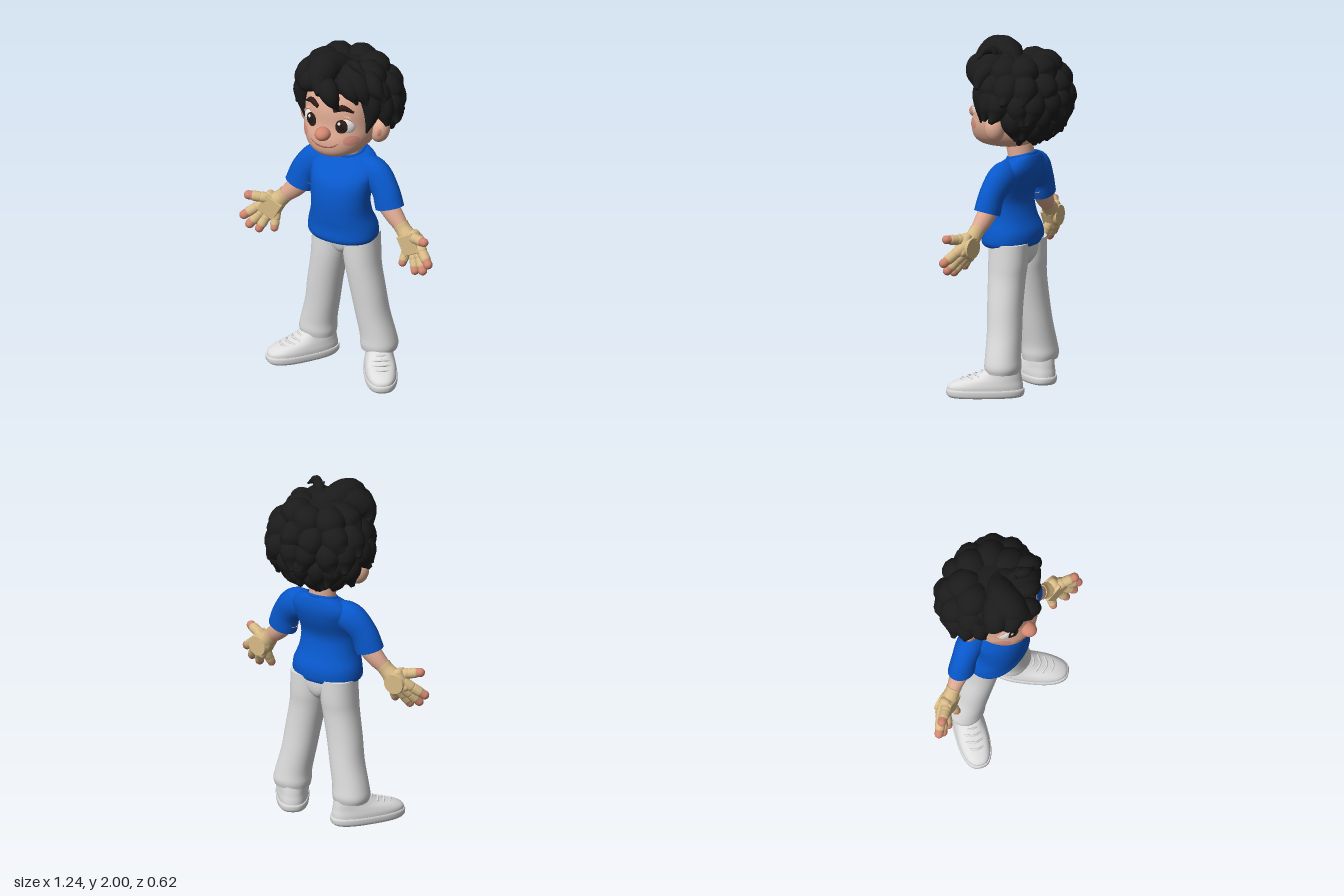
import * as THREE from 'three';
import { toCreasedNormals } from 'three/addons/utils/BufferGeometryUtils.js';
import { RoundedBoxGeometry } from 'three/addons/geometries/RoundedBoxGeometry.js';

const V = (x, y, z) => new THREE.Vector3(x, y, z);
const mat = (name, color) => Object.assign(new THREE.MeshStandardMaterial({ color }), { name });

// Smooth value at t (0..1) through a list of equal-length rows
function sample(rows, t) {
  const f = t * (rows.length - 1), i = Math.min(Math.floor(f), rows.length - 2), u = f - i;
  const at = k => rows[Math.max(0, Math.min(rows.length - 1, k))];
  return at(i).map((b, c) => {
    const a = at(i - 1)[c], d = at(i + 1)[c], e = at(i + 2)[c];
    return b + 0.5 * u * (d - a + u * (2 * a - 5 * b + 4 * d - e + u * (3 * (b - d) + e - a)));
  });
}

// Soft shading, keeping sharp rims
const crease = geo => toCreasedNormals(geo.scale(30, 30, 30), 1).scale(1 / 30, 1 / 30, 1 / 30);

// Stacked rounded sections, bottom to top: [y, cx, cz, rx, rz, tilt]
function loft(rings, power = 2, seg = 36) {
  const rows = (rings.length - 1) * 4, pos = [], idx = [];
  for (let i = -1; i <= rows + 1; i++) {
    const [y, cx, cz, rx, rz, tilt] = sample(rings.map(r => [...r, 0].slice(0, 6)), Math.max(0, Math.min(1, i / rows)));
    const k = i < 0 || i > rows ? 0 : 1;
    for (let j = 0; j <= seg; j++) {
      const a = j / seg * Math.PI * 2, c = Math.cos(a), s = Math.sin(a);
      const x = k * rx * Math.sign(c) * Math.abs(c) ** (2 / power);
      const z = k * rz * Math.sign(s) * Math.abs(s) ** (2 / power);
      pos.push(cx + x, y - tilt * z, cz + z);
      const q = (i + 1) * (seg + 1) + j, up = q + seg + 1;
      if (i <= rows && j < seg) idx.push(q, up, q + 1, q + 1, up, up + 1);
    }
  }
  const g = new THREE.BufferGeometry();
  g.setAttribute('position', new THREE.Float32BufferAttribute(pos, 3));
  g.setIndex(idx);
  return crease(g);
}

// Closed tube of changing radius along a curve
function taper(points, radii, flat = 1, n = 16, seg = 12) {
  const curve = new THREE.CatmullRomCurve3(points);
  const g = new THREE.TubeGeometry(curve, n, 1, seg), p = g.attributes.position, nor = g.attributes.normal;
  for (let v = 0; v < p.count; v++) {
    const i = Math.floor(v / (seg + 1)), t = Math.max(0, Math.min(1, (i - 1) / (n - 2)));
    const r = i === 0 || i === n ? 0 : sample(radii.map(q => [q]), t)[0], c = curve.getPoint(t);
    p.setXYZ(v, c.x + nor.getX(v) * r, c.y + nor.getY(v) * r, c.z + nor.getZ(v) * r * flat);
  }
  return crease(g);
}

export function createModel() {
  const root = new THREE.Group();
  const hair = mat('black hair', 0x1b1b1b), skin = mat('skin', 0xe0ab93), rosy = mat('rosy skin', 0xd28770);
  const blue = mat('blue cotton', 0x0858cc), pale = mat('pale grey cloth', 0xdedede), blush = mat('blush', 0xda917e);
  const tan = mat('tan glove', 0xd8bb87), white = mat('eye white', 0xf0eeec), brown = mat('dark brown', 0x301a16), lip = mat('lip line', 0x9a5444);
  let seed = 7;
  const jitter = k => ((seed = (seed * 16807) % 2147483647) / 2147483647 - 0.5) * 2 * k;

  function add(name, geo, m, parent = root) {
    const mesh = new THREE.Mesh(geo, m);
    mesh.name = name;
    parent.add(mesh);
    return mesh;
  }
  function group(name, position, rotation) {
    const g = new THREE.Group();
    g.name = name;
    g.position.set(...position);
    g.rotation.set(...rotation);
    root.add(g);
    return g;
  }
  function ball(name, m, c, r, ry = 0, rz = 0) {
    const b = add(name, new THREE.SphereGeometry(1, 28, 20), m);
    b.position.set(...c);
    b.scale.set(...r);
    b.rotation.set(0, ry, rz);
    b.updateMatrixWorld(true);
    return b;
  }
  function bead(name, m, a, b, r) {
    const mesh = add(name, new THREE.CapsuleGeometry(r, a.distanceTo(b), 5, 14), m);
    mesh.position.copy(a).lerp(b, 0.5);
    mesh.quaternion.setFromUnitVectors(V(0, 1, 0), b.clone().sub(a).normalize());
  }

  // Head and neck
  const head = add('head', loft([
    [1.395, 0, 0.09, 0.06, 0.08], [1.41, 0, 0.08, 0.115, 0.145], [1.45, 0, 0.06, 0.17, 0.195], [1.52, 0, 0.05, 0.203, 0.208],
    [1.6, 0, 0.04, 0.205, 0.198], [1.7, 0, 0.035, 0.2, 0.195], [1.79, 0, 0.02, 0.17, 0.175], [1.86, 0, 0, 0.08, 0.09]], 2.2, 48), skin);
  add('neck', loft([[1.24, 0, -0.03, 0.08, 0.06], [1.33, 0, -0.028, 0.078, 0.071], [1.45, 0, -0.01, 0.08, 0.08]]), skin);

  // Face details are laid on the surface by casting rays at it
  const targets = [head], ray = new THREE.Raycaster();
  function onFace(x, y) {
    ray.set(V(x, y, 1), V(0, 0, -1));
    return ray.intersectObjects(targets, false)[0]?.point.z ?? 0.08;
  }
  function decal(name, m, x, y, rx, ry, lift) {
    const g = new THREE.RingGeometry(0.001, 1, 28, 5), p = g.attributes.position;
    for (let i = 0; i < p.count; i++) {
      const px = x + p.getX(i) * rx, py = y + p.getY(i) * ry;
      p.setXYZ(i, px, py, onFace(px, py) + lift);
    }
    g.computeVertexNormals();
    add(name, g, m);
  }
  const stroke = (name, m, pts, radii, lift, flat) => add(name, taper(pts.map(([x, y]) => V(x, y, onFace(x, y) + lift)), radii, flat), m);
  stroke('mouth', lip, [[-0.085, 1.505], [-0.045, 1.487], [0, 1.482], [0.05, 1.488], [0.09, 1.512]], [0.002, 0.004, 0.004, 0.004, 0.002], 0);
  ball('nose', rosy, [0, 1.562, 0.257], [0.045, 0.039, 0.052]);
  for (const s of [1, -1]) {
    decal('cheekBlush', blush, s * 0.148, 1.53, 0.035, 0.031, 0.003);
    stroke('eyebrow', brown, [[s * 0.05, 1.708], [s * 0.1, 1.726], [s * 0.152, 1.698]], [0.013, 0.019, 0.007], 0.004, 0.7);
    const z = onFace(s * 0.109, 1.613);
    targets.push(ball('eyeball', white, [s * 0.109, 1.613, z - 0.024], [0.057, 0.055, 0.033], s * 0.45));
    add('upperLid', taper([V(s * 0.052, 1.634, z - 0.004), V(s * 0.085, 1.667, z - 0.01), V(s * 0.13, 1.666, z - 0.02), V(s * 0.163, 1.632, z - 0.034)],
      [0.005, 0.011, 0.011, 0.005]), skin);
    ball('ear', skin, [s * 0.225, 1.533, 0.008], [0.055, 0.075, 0.055], 0, -s * 0.28);
    ball('innerEar', rosy, [s * 0.238, 1.535, 0.037], [0.024, 0.042, 0.025], 0, -s * 0.28);
  }
  for (const x of [0.1, -0.092]) {
    decal('iris', brown, x, 1.616, 0.035, 0.041, 0.003);
    decal('pupil', hair, x, 1.616, 0.018, 0.022, 0.005);
    decal('eyeGlint', white, x - 0.012, 1.635, 0.009, 0.009, 0.007);
  }

  // Hair: core masses, then rows of rounded, curled locks
  ball('hairBack', hair, [0, 1.67, -0.12], [0.25, 0.22, 0.15]);
  ball('hairTop', hair, [0, 1.8, -0.01], [0.23, 0.115, 0.2]);
  const lock = (pts, radii) => add('hairLock', taper(pts.map(q => V(...q)), radii), hair);
  const shell = (a, e, k) => [0.29 * k * Math.sin(a) * Math.cos(e), 1.67 + 0.24 * k * Math.sin(e), -0.05 - 0.22 * k * Math.cos(a) * Math.cos(e)];
  const rows = [[0.92, 2.75, 7, 0.088, 1.06], [0.45, 2.0, 8, 0.08, 1.12], [0.05, 1.55, 8, 0.072, 1.16], [-0.35, 1.25, 7, 0.063, 1.16], [-0.7, 1.0, 6, 0.054, 1.1]];
  rows.forEach(([e0, span, count, r0, tip]) => {
    for (let i = 0; i < count; i++) {
      const a = -span + 2 * span * i / (count - 1) + jitter(0.04), twist = (i % 2 ? 0.13 : -0.13) + jitter(0.06);
      const e = e0 + jitter(0.05), r = r0 * (1 + jitter(0.08));
      lock([shell(a, e + 0.5, 0.72), shell(a, e + 0.12, 0.88), shell(a + twist * 0.4, e - 0.17, 0.96), shell(a + twist, e - 0.35, tip)], [r * 0.5, r, r * 0.85, 0.014]);
    }
  });
  // Quiff, fringe and cowlick
  lock([[0.06, 1.85, -0.02], [-0.04, 1.91, 0.1], [-0.055, 1.89, 0.2], [0.0, 1.82, 0.28]], [0.05, 0.09, 0.088, 0.028]);
  lock([[0, 1.88, 0.03], [-0.11, 1.89, 0.12], [-0.17, 1.84, 0.16], [-0.22, 1.75, 0.13]], [0.05, 0.08, 0.07, 0.012]);
  lock([[-0.02, 1.88, 0.12], [-0.08, 1.875, 0.21], [-0.13, 1.83, 0.235], [-0.155, 1.785, 0.21]], [0.04, 0.07, 0.05, 0.01]);
  lock([[0, 1.88, 0.04], [0.1, 1.87, 0.1], [0.17, 1.82, 0.13], [0.225, 1.74, 0.13]], [0.05, 0.075, 0.065, 0.012]);
  lock([[-0.03, 1.87, 0.18], [0.02, 1.84, 0.24], [0.055, 1.785, 0.25], [0.08, 1.715, 0.225]], [0.04, 0.06, 0.045, 0.006]);
  lock([[0.05, 1.87, 0.12], [0.1, 1.855, 0.165], [0.145, 1.81, 0.175], [0.17, 1.75, 0.17]], [0.04, 0.055, 0.045, 0.008]);
  lock([[0.13, 1.86, 0.04], [0.2, 1.86, 0.07], [0.25, 1.82, 0.09], [0.3, 1.77, 0.08]], [0.04, 0.055, 0.045, 0.01]);
  lock([[0.07, 1.9, 0.06], [0.1, 1.95, 0.09], [0.14, 1.96, 0.12], [0.2, 1.92, 0.13]], [0.03, 0.026, 0.026, 0.006]);
  lock([[0.09, 1.9, 0.07], [0.085, 1.945, 0.09], [0.07, 1.975, 0.1]], [0.028, 0.022, 0.004]);
  lock([[0.08, 1.9, 0.08], [0.11, 1.95, 0.08], [0.125, 1.985, 0.08]], [0.025, 0.02, 0.004]);
  for (const s of [1, -1]) {
    lock([[s * 0.19, 1.8, 0.08], [s * 0.22, 1.72, 0.09], [s * 0.218, 1.64, 0.1], [s * 0.198, 1.555, 0.115]], [0.06, 0.058, 0.035, 0.006]);
    lock([[s * 0.2, 1.78, 0.02], [s * 0.25, 1.71, 0.02], [s * 0.27, 1.65, 0.03], [s * 0.29, 1.59, 0.04]], [0.06, 0.062, 0.05, 0.012]);
  }

  // Shirt body and collar
  add('shirtBody', loft([
    [0.835, 0, 0.03, 0.192, 0.142], [0.86, 0, 0.03, 0.207, 0.152], [0.92, 0, 0.03, 0.202, 0.15], [1.0, 0, 0.05, 0.178, 0.138],
    [1.1, 0, 0.06, 0.175, 0.13], [1.2, 0, 0.03, 0.19, 0.142, 0.05], [1.27, 0, -0.005, 0.198, 0.125, 0.1],
    [1.325, 0, -0.028, 0.15, 0.096, 0.2], [1.35, 0, -0.033, 0.09, 0.078, 0.28]], 2.2), blue);
  const collar = add('collar', new THREE.TorusGeometry(1, 0.1, 10, 40), blue);
  collar.position.set(0, 1.348, -0.033);
  collar.rotation.x = Math.PI / 2 + 0.27;
  collar.scale.set(0.088, 0.08, 0.09);
  add('hips', loft([[0.7, 0, -0.005, 0.012, 0.03], [0.74, 0, -0.005, 0.05, 0.085], [0.8, 0, -0.005, 0.14, 0.106], [0.9, 0, 0, 0.19, 0.112]], 2.3), pale);

  for (const s of [1, -1]) {
    const P = (x, y, z) => V(s * x, y, z);
    // Sleeve, forearm and glove cuff
    add('sleeve', taper([P(0.05, 1.255, -0.02), P(0.175, 1.245, -0.012), P(0.255, 1.165, 0.005), P(0.292, 1.065, 0.015)], [0.07, 0.09, 0.083, 0.086], 0.82, 22, 24), blue);
    add('forearm', taper([P(0.24, 1.12, 0.01), P(0.32, 1.03, 0.02), P(0.395, 0.955, 0.035)], [0.06, 0.055, 0.04], 0.9), skin);
    add('gloveCuff', taper([P(0.368, 0.985, 0.03), P(0.39, 0.96, 0.034), P(0.42, 0.93, 0.04)], [0.047, 0.046, 0.052], 0.9), tan);

    // Palm and back plate
    const hand = group('glove', [s * 0.453, 0.897, 0.044], [0, -s * 0.12, s * 0.5]);
    add('palm', new RoundedBoxGeometry(0.13, 0.138, 0.066, 3, 0.024), tan, hand);
    add('palmPad', new RoundedBoxGeometry(0.114, 0.118, 0.03, 2, 0.006), tan, hand).position.z = 0.032;
    const plate = add('backPlate', new THREE.CylinderGeometry(0.063, 0.058, 0.02, 24), tan, hand);
    plate.rotation.x = Math.PI / 2;
    plate.position.z = -0.034;

    // Jointed fingers with bare tips
    const fingers = [
      [0.465, 0.94, 0.06, 0.568, 0.957, 0.11, 0.029], [0.5, 0.9, 0.05, 0.596, 0.825, 0.112, 0.029], [0.497, 0.865, 0.05, 0.56, 0.776, 0.11, 0.029],
      [0.47, 0.845, 0.05, 0.504, 0.759, 0.1, 0.028], [0.425, 0.85, 0.05, 0.415, 0.779, 0.085, 0.026]];
    for (const [ax, ay, az, bx, by, bz, r] of fingers) {
      const a = P(ax, ay, az), b = P(bx, by, bz), at = t => a.clone().lerp(b, t);
      bead('fingerBase', tan, a, at(0.3), r + 0.002);
      bead('fingerMiddle', tan, at(0.48), at(0.72), r);
      bead('fingertip', rosy, at(0.82), b, r * 0.88);
    }

    // Trouser leg
    add('trouserLeg', loft([
      [0.135, s * 0.196, -0.03, 0.1, 0.092], [0.17, s * 0.197, -0.03, 0.107, 0.1], [0.23, s * 0.19, -0.027, 0.102, 0.097],
      [0.36, s * 0.161, -0.018, 0.097, 0.096], [0.5, s * 0.138, -0.008, 0.099, 0.098], [0.65, s * 0.111, -0.002, 0.101, 0.104],
      [0.74, s * 0.101, -0.004, 0.104, 0.11], [0.86, s * 0.095, -0.005, 0.104, 0.112]], 2.2), pale);

    // Shoe, turned outward
    const shoe = group('shoe', [s * 0.252, 0, 0.052], [0, s * 0.6, 0]);
    add('sole', loft([[0, 0, 0, 0.085, 0.206], [0.012, 0, 0, 0.092, 0.217], [0.035, 0, 0, 0.094, 0.22], [0.045, 0, 0, 0.091, 0.216]], 2.6), pale, shoe);
    add('shoeUpper', loft([[0.04, 0, 0, 0.089, 0.213], [0.065, 0, -0.002, 0.089, 0.209], [0.092, 0, -0.024, 0.083, 0.182],
      [0.12, 0, -0.07, 0.075, 0.132], [0.165, 0, -0.105, 0.066, 0.088]], 2.45), pale, shoe);
    for (let k = 0; k < 4; k++) {
      const y = 0.1 + k * 0.013, z = 0.134 - k * 0.037;
      add('lace', taper([V(-0.05, y - 0.008, z - 0.022), V(0, y + 0.004, z), V(0.05, y - 0.008, z - 0.022)], [0.006, 0.006, 0.006], 1, 10, 8), pale, shoe);
    }
  }
  return root;
}
